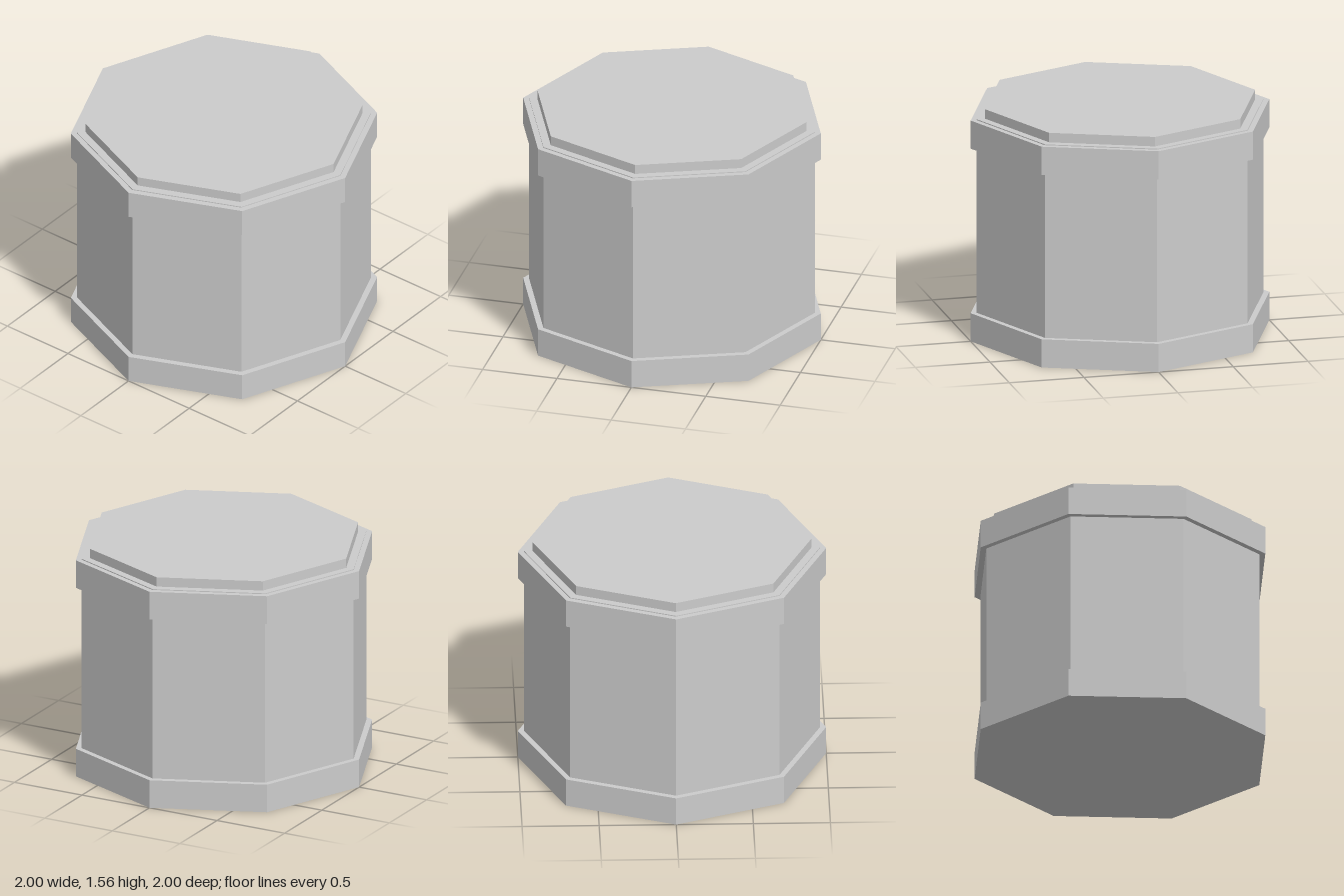
import * as THREE from 'three';

export function createModel() {
  const group = new THREE.Group();
  const stone = new THREE.MeshStandardMaterial({ color: 0xcccccc, flatShading: true });
  stone.name = 'light grey';

  // Eight-sided drum with corners on the x and z axes
  const drum = (name, radius, bottom, top) => {
    const mesh = new THREE.Mesh(new THREE.CylinderGeometry(radius, radius, top - bottom, 8), stone);
    mesh.name = name;
    mesh.position.y = (bottom + top) / 2;
    group.add(mesh);
  };

  drum('baseBand', 1, 0, 0.19);
  drum('body', 0.96, 0.1, 1.496);
  drum('topBand', 1, 1.3, 1.49);
  drum('lid', 0.905, 1.45, 1.56);

  return group;
}
